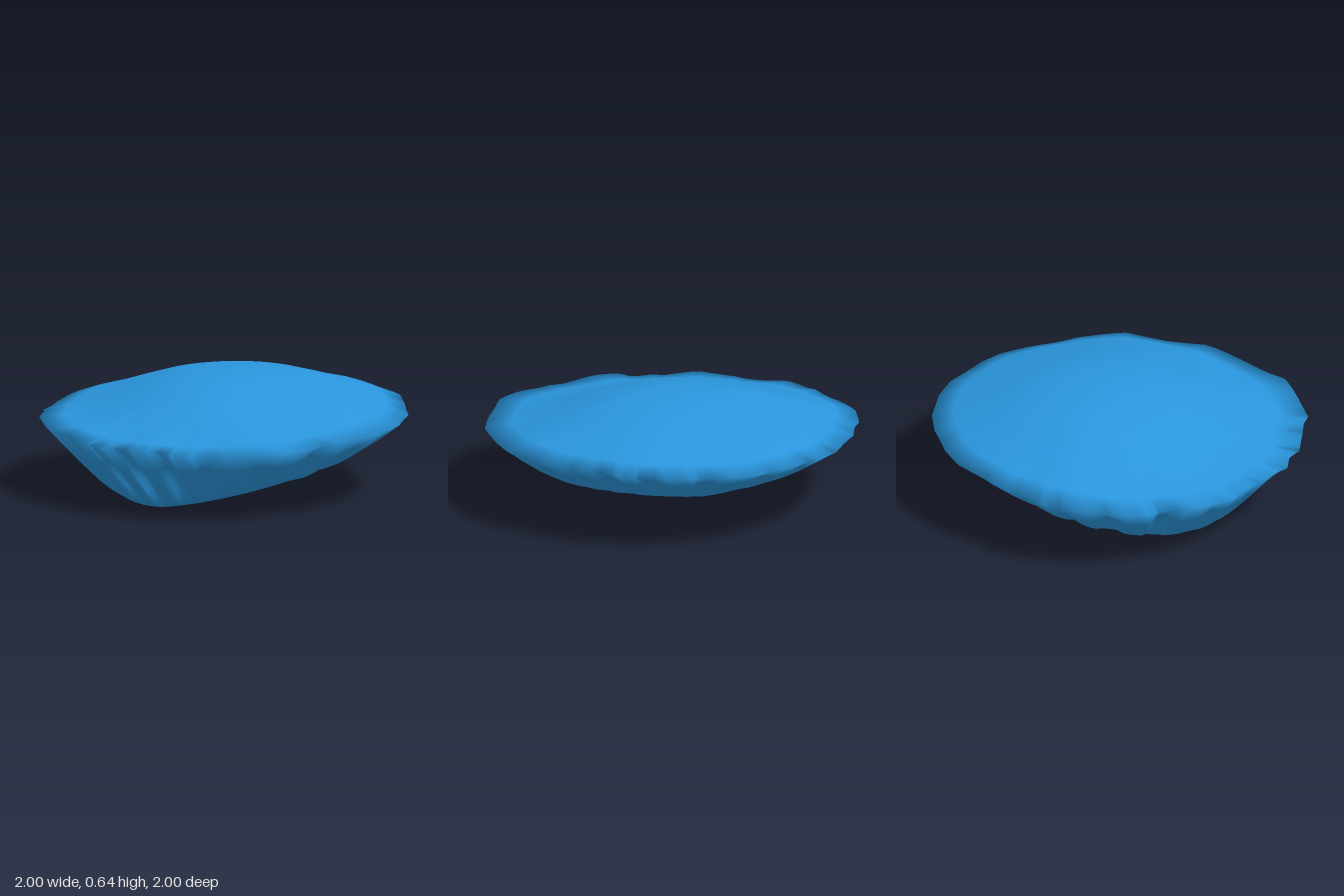
import * as THREE from 'three';

// Rim outline seen from above (x, z), clockwise from the back
const OUTLINE = [
  [0.02, -1], [0.18, -0.98], [0.46, -0.88], [0.56, -0.81], [0.72, -0.64], [0.88, -0.46], [1, -0.22],
  [1, 0.22], [0.89, 0.5], [0.77, 0.72], [0.56, 0.86], [0.43, 0.94], [0.34, 0.94], [0.2, 0.97], [0.02, 1],
  [-0.03, 0.96], [-0.16, 0.98], [-0.21, 0.94], [-0.4, 0.89], [-0.45, 0.85], [-0.57, 0.8], [-0.8, 0.6],
  [-0.87, 0.46], [-0.91, 0.42], [-0.98, 0.2], [-1, -0.03], [-0.97, -0.2], [-0.92, -0.28],
  [-0.86, -0.46], [-0.69, -0.7], [-0.56, -0.81], [-0.37, -0.92], [-0.2, -0.98],
];
const STEPS = 4;
const N = OUTLINE.length * STEPS;
const RADIUS = 0.97;

// Rim points with their direction (s to the side, c to the front) and fold depth
const RIM = Array.from({ length: N }, (_, i) => {
  const k = Math.floor(i / STEPS), f = (i % STEPS) / STEPS;
  const a = OUTLINE[k], b = OUTLINE[(k + 1) % OUTLINE.length];
  const x = a[0] + (b[0] - a[0]) * f, z = a[1] + (b[1] - a[1]) * f;
  const r = Math.hypot(x, z), s = x / r, c = z / r, ang = Math.atan2(x, z);
  const wave = Math.sin(23 * ang + 2 * Math.sin(3 * ang));
  const fold = Math.max(0, wave) * (0.65 + 0.35 * Math.sin(5 * ang + 1));
  const y = 0.415 + 0.01 * s - 0.035 * c;
  return { r, y, s, c, fold, ripple: (0.008 + 0.004 * c) * Math.sin(11 * ang) };
});

// Radius at fraction t: round inside, following the uneven outline at the rim
const radiusAt = (p, t) => t * (RADIUS + (p.r - RADIUS) * t ** 3);

// One smooth closed skin from the top centre through the rings to the bottom centre
function closedSkin(top, rings, bottom) {
  const pos = [...top, ...rings.flat(2), ...bottom], index = [];
  const last = 1 + (rings.length - 1) * N, end = 1 + rings.length * N;
  for (let i = 0; i < N; i++) {
    const j = (i + 1) % N;
    index.push(0, 1 + j, 1 + i, end, last + i, last + j);
    for (let a = 1; a < last; a += N) {
      index.push(a + i, a + j, a + N + i, a + j, a + N + j, a + N + i);
    }
  }
  const geo = new THREE.BufferGeometry();
  geo.setAttribute('position', new THREE.Float32BufferAttribute(pos, 3));
  geo.setIndex(index);
  geo.computeVertexNormals();
  return geo;
}

export function createModel() {
  const group = new THREE.Group();
  group.name = 'cushion';

  // Domed top, falling away sooner towards the front; the last ring is the rim
  const apex = [0, 0.64, -0.1];
  const dome = [[0.15, 0.99], [0.3, 0.94], [0.45, 0.83], [0.6, 0.64], [0.74, 0.44], [0.88, 0.25], [1, 0]];
  const topRings = dome.map(([t, f]) => RIM.map((p) => {
    const r = radiusAt(p, t);
    const drop = Math.pow(f, 1.1 + 0.9 * Math.max(0, p.c));
    return [p.s * r, p.y + (apex[1] - p.y) * drop + p.ripple * t ** 8, p.c * r + apex[2] * (1 - t)];
  }));

  // Flaring wall below the rim, gathered into folds; steeper in front, rounder at the sides
  const MID = 0.06;
  const baseR = (p) => 0.57 + 0.05 * Math.max(0, p.c);
  const baseY = ({ s, c }) => 0.13 - 0.1 * c + 0.025 * s - 0.03 * c * c + 0.06 * Math.max(0, s * c);
  const wallRings = [0.72, 0.5, 0.32, 0.16, 0].map((u) => RIM.map((p) => {
    const depth = 0.075 * p.fold * Math.sin(Math.PI * u);
    const r = radiusAt(p, baseR(p) + (1 - baseR(p)) * u - depth);
    const h = baseY(p);
    return [p.s * r, h + (p.y - h) * Math.pow(u, 1.2 + 0.35 * p.s * p.s) + depth * 0.5, p.c * r];
  }));

  // Tilted base, lowest at the front
  const baseRings = [0.85, 0.6, 0.3].map((t) => RIM.map((p) => {
    const r = radiusAt(p, baseR(p) * t);
    return [p.s * r, MID + (baseY(p) - MID) * t ** 1.3, p.c * r];
  }));

  const cushion = new THREE.Mesh(
    closedSkin(apex, [...topRings, ...wallRings, ...baseRings], [0, MID, 0]),
    new THREE.MeshStandardMaterial({ color: 0x2a96dd }),
  );
  cushion.name = 'gatheredCushion';
  group.add(cushion);
  return group;
}
